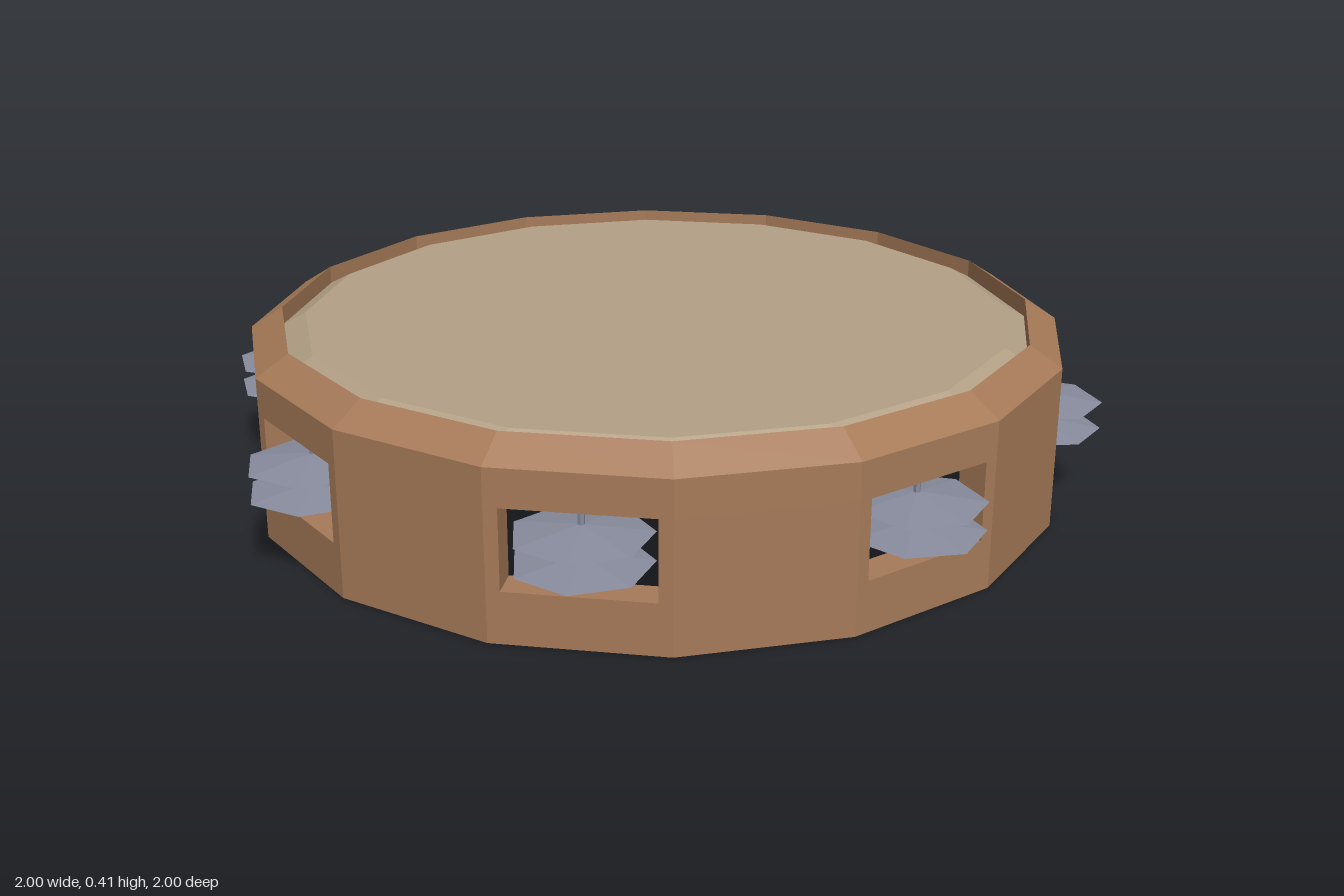
import * as THREE from 'three';

const SIDES = 16;
const STEP = Math.PI / 8;          // angle of one rim panel
const OUTER = 0.895, INNER = 0.825; // centre to panel face
const WIN_HALF = 0.15, WIN_LOW = 0.11, WIN_HIGH = 0.28;
const corner = 1 / Math.cos(STEP / 2); // face distance to corner distance

const material = (name, color) =>
  Object.assign(new THREE.MeshStandardMaterial({ color, flatShading: true }), { name });

function part(name, geometry, mat) {
  const mesh = new THREE.Mesh(geometry, mat);
  mesh.name = name;
  return mesh;
}

// Sixteen-sided ring or disc, with a flat panel facing the front
function turned(profile) {
  const points = profile.map(([r, y]) => new THREE.Vector2(r * corner, y));
  return new THREE.LatheGeometry(points, SIDES, STEP / 2);
}

// Rim wall between two neighbouring windows, bent along three panels
function postGeometry() {
  const polar = (r, a) => new THREE.Vector2(r * Math.cos(a), r * Math.sin(a));
  const turn = (x, y) => new THREE.Vector2(x, y).rotateAround(new THREE.Vector2(), 2 * STEP);
  const shape = new THREE.Shape([
    new THREE.Vector2(OUTER, WIN_HALF),
    polar(OUTER * corner, STEP / 2),
    polar(OUTER * corner, STEP * 1.5),
    turn(OUTER, -WIN_HALF),
    turn(INNER, -WIN_HALF),
    polar(INNER * corner, STEP * 1.5),
    polar(INNER * corner, STEP / 2),
    new THREE.Vector2(INNER, WIN_HALF),
  ]);
  const geometry = new THREE.ExtrudeGeometry(shape, {
    depth: WIN_HIGH - WIN_LOW, bevelEnabled: false,
  });
  return geometry.rotateX(-Math.PI / 2).translate(0, WIN_LOW, 0);
}

export function createModel() {
  const wood = material('brown wood', 0xa67a58);
  const hide = material('tan drumskin', 0xb3a086);
  const metal = material('grey metal', 0x878b9c);

  const model = new THREE.Group();
  model.name = 'tambourine';

  // Rim bands below and above the windows
  model.add(part('lowerRim', turned([
    [OUTER, 0], [OUTER, WIN_LOW], [INNER, WIN_LOW], [INNER, 0], [OUTER, 0],
  ]), wood));
  model.add(part('upperRim', turned([
    [OUTER, WIN_HIGH], [OUTER, 0.36], [INNER, 0.405], [INNER, WIN_HIGH], [OUTER, WIN_HIGH],
  ]), wood));

  // Drumskin, sloping down to the rim
  model.add(part('drumskin', turned([
    [0, 0.335], [INNER, 0.335], [INNER, 0.365], [0.775, 0.392], [0, 0.392],
  ]), hide));

  const post = postGeometry();
  const disc = new THREE.LatheGeometry(
    [[0, -0.02], [0.14, 0], [0, 0.02]].map(([r, y]) => new THREE.Vector2(r, y)), 7);
  const pin = new THREE.CylinderGeometry(0.007, 0.007, WIN_HIGH - WIN_LOW, 6);

  for (let i = 0; i < 8; i++) {
    const angle = i * 2 * STEP;
    const wall = part('rimPost', post, wood);
    wall.rotation.y = angle;
    model.add(wall);

    // Pair of jingles on a pin in each window
    const jingles = new THREE.Group();
    jingles.name = 'jinglePair';
    for (const y of [0.165, 0.225]) {
      const jingle = part('jingle', disc, metal);
      jingle.position.set(0, y, 0.86);
      jingles.add(jingle);
    }
    const rod = part('jinglePin', pin, metal);
    rod.position.set(0, (WIN_LOW + WIN_HIGH) / 2, 0.86);
    jingles.add(rod);
    jingles.rotation.y = angle;
    model.add(jingles);
  }
  return model;
}
